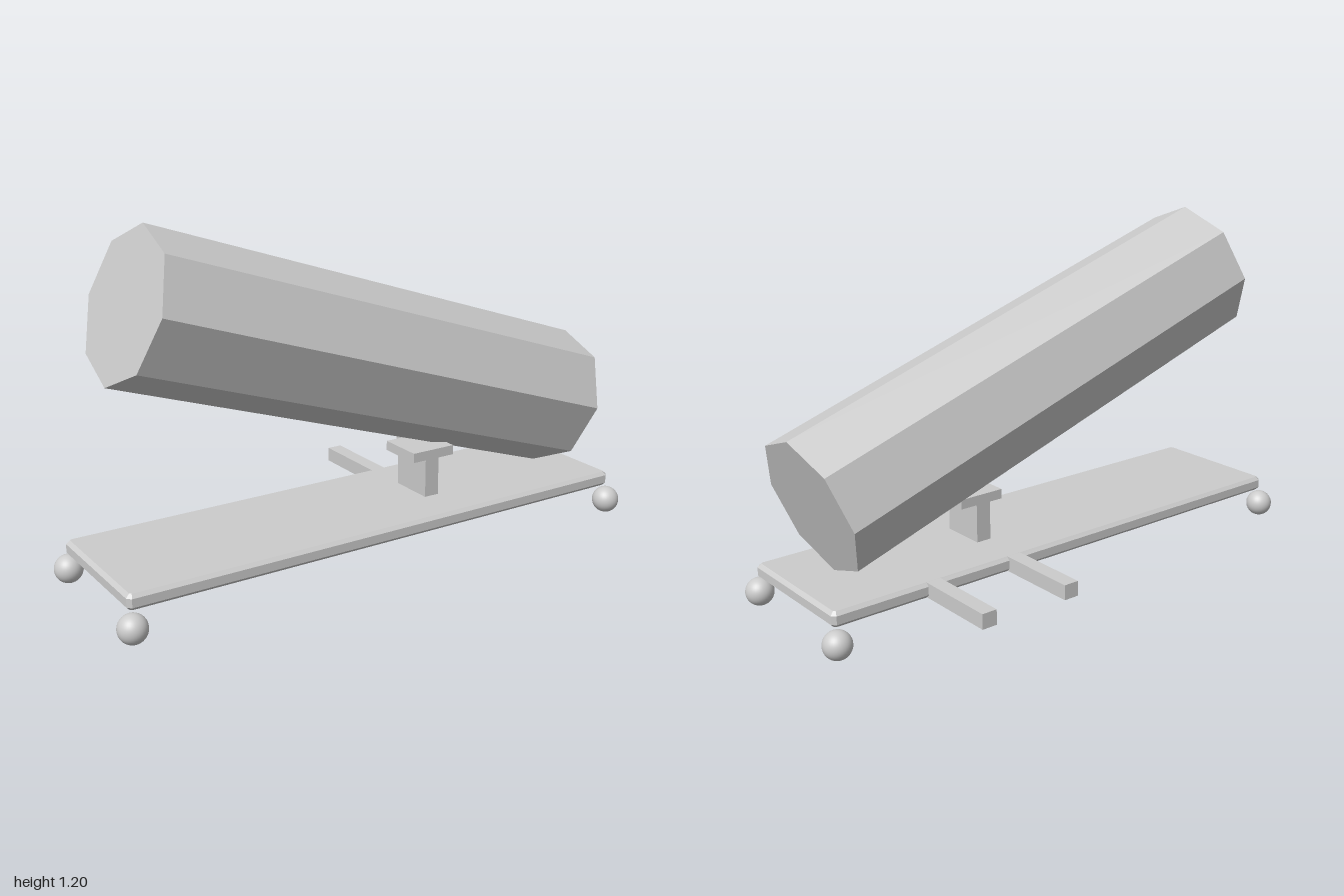
import * as THREE from 'three';

export function createModel() {
  const model = new THREE.Group();
  const grey = new THREE.MeshStandardMaterial({ color: 0xcccccc });
  grey.name = 'light grey';

  const add = (name, geometry, x, y, z) => {
    const mesh = new THREE.Mesh(geometry, grey);
    mesh.name = name;
    mesh.position.set(x, y, z);
    model.add(mesh);
    return mesh;
  };
  const box = (name, [x0, x1], [y0, y1], [z0, z1]) =>
    add(name, new THREE.BoxGeometry(x1 - x0, y1 - y0, z1 - z0),
      (x0 + x1) / 2, (y0 + y1) / 2, (z0 + z1) / 2);

  const midZ = 0.118;

  // Bed plate: flat slab with chamfered edges and clipped corners
  const bevel = 0.012, hx = 0.962 - bevel, hz = 0.249 - bevel, cut = 0.006;
  const outline = new THREE.Shape([
    [hx, -hz + cut], [hx, hz - cut], [hx - cut, hz], [-hx + cut, hz],
    [-hx, hz - cut], [-hx, -hz + cut], [-hx + cut, -hz], [hx - cut, -hz],
  ].map(([x, y]) => new THREE.Vector2(x, y)));
  const plate = new THREE.ExtrudeGeometry(outline, {
    depth: 0.053 - 2 * bevel, bevelEnabled: true, bevelSegments: 1,
    bevelSize: bevel, bevelThickness: bevel,
  });
  plate.rotateX(-Math.PI / 2);
  add('bedPlate', plate, 0, 0.102 + bevel, midZ);

  // Ball wheels under the four corners
  const ball = new THREE.SphereGeometry(0.048, 32, 20);
  for (const sx of [-1, 1]) {
    for (const sz of [-1, 1]) add('wheel', ball, sx * 0.952, 0.05, midZ + sz * 0.251);
  }

  // Two push bars out of the back edge
  for (const x of [0.262, 0.587]) {
    box('pushBar', [x - 0.027, x + 0.027], [0.103, 0.1545], [-0.418, -0.1]);
  }

  // T-shaped support
  box('supportPost', [0.239, 0.295], [0.15, 0.292], [0.04, 0.204]);
  box('supportTop', [0.188, 0.358], [0.291, 0.325], [0.04, 0.204]);

  // Tilted eight-sided barrel, one corner line rolled slightly off the top
  const high = new THREE.Vector3(-0.835, 0.965, 0.14);
  const low = new THREE.Vector3(0.88, 0.402, 0.118);
  const axis = low.clone().sub(high);
  const length = axis.length();
  axis.normalize();
  const side = new THREE.Vector3().crossVectors(axis, new THREE.Vector3(0.08, 0.238, -0.0125)).normalize();
  const top = new THREE.Vector3().crossVectors(side, axis);
  const barrelGeometry = new THREE.CylinderGeometry(0.25, 0.25, length, 8).toNonIndexed();
  barrelGeometry.computeVertexNormals();
  const centre = high.add(low).multiplyScalar(0.5);
  const barrel = add('barrel', barrelGeometry, centre.x, centre.y, centre.z);
  barrel.quaternion.setFromRotationMatrix(new THREE.Matrix4().makeBasis(side, axis, top));

  return model;
}
